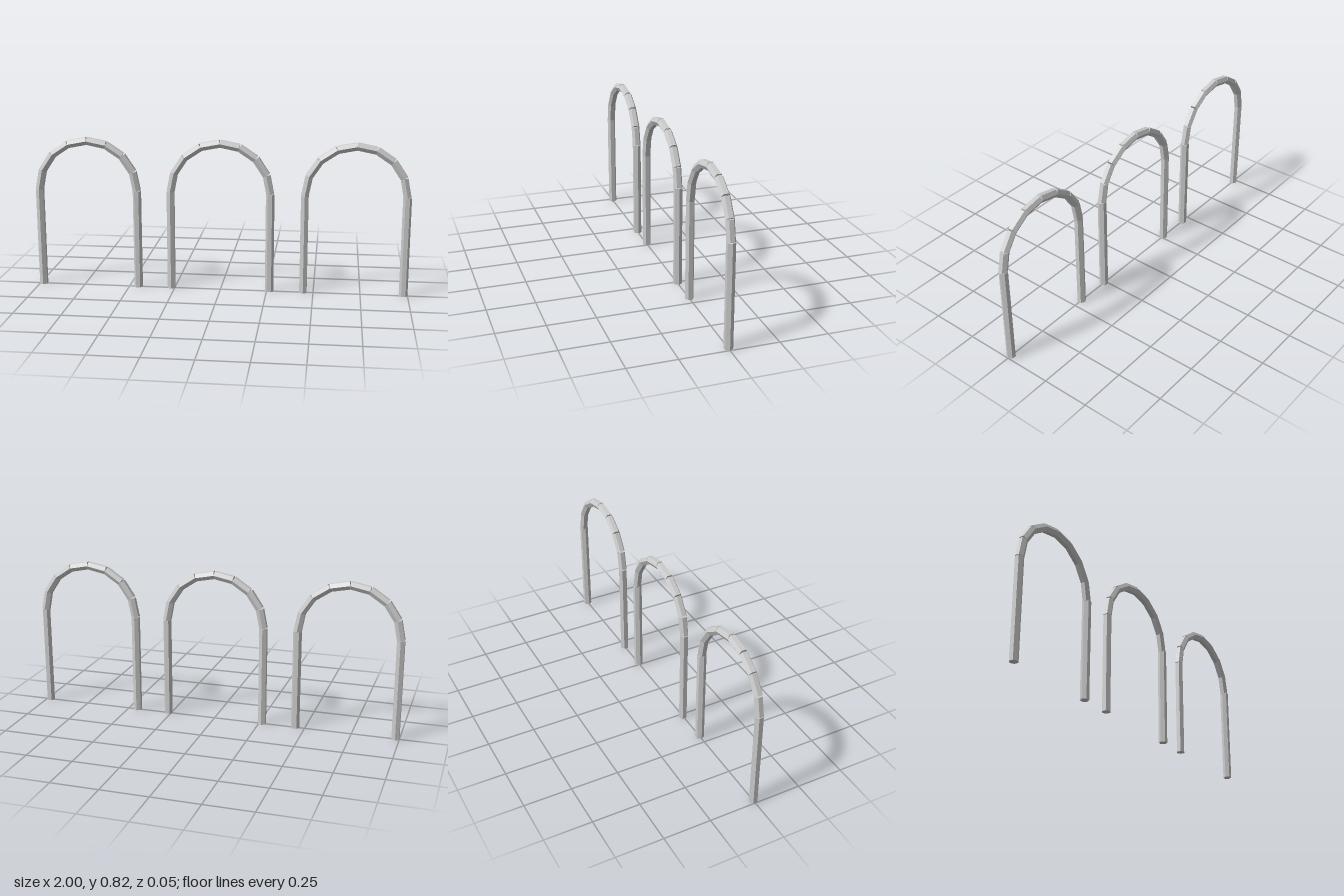
import * as THREE from 'three';

const TUBE = 0.023;      // hexagonal tube radius
const LEG = 0.535;       // leg height, where the bend starts
const R = 0.2655;        // bend radius
const SPACING = 0.713;   // distance between hoops
const SEGMENTS = 8;

const material = new THREE.MeshStandardMaterial({ color: 0xcccccc, flatShading: true });

// Straight hexagonal tube piece
function tube(name, length) {
  const mesh = new THREE.Mesh(new THREE.CylinderGeometry(TUBE, TUBE, length, 6), material);
  mesh.name = name;
  return mesh;
}

function createHoop() {
  const hoop = new THREE.Group();
  hoop.name = 'hoop';

  // Two upright legs, the left one turned so an edge points outward
  for (const side of [-1, 1]) {
    const leg = tube(side > 0 ? 'leftLeg' : 'rightLeg', LEG);
    leg.position.set(side * R, LEG / 2, 0);
    if (side > 0) leg.rotation.y = Math.PI / 6;
    hoop.add(leg);
  }

  // Bend of straight, square-cut pieces meeting on a half circle
  const step = Math.PI / SEGMENTS;
  const chord = 2 * R * Math.sin(step / 2);
  const mid = R * Math.cos(step / 2);
  for (let i = 0; i < SEGMENTS; i++) {
    const a = (i + 0.5) * step;
    const piece = tube('bendSegment', chord);
    piece.position.set(mid * Math.cos(a), LEG + mid * Math.sin(a), 0);
    piece.rotation.z = a;
    hoop.add(piece);
  }
  return hoop;
}

export function createModel() {
  const model = new THREE.Group();
  model.name = 'hoopRack';
  // Row of three hoops
  for (let i = -1; i <= 1; i++) {
    const hoop = createHoop();
    hoop.position.x = i * SPACING - 0.0015;
    model.add(hoop);
  }
  return model;
}
